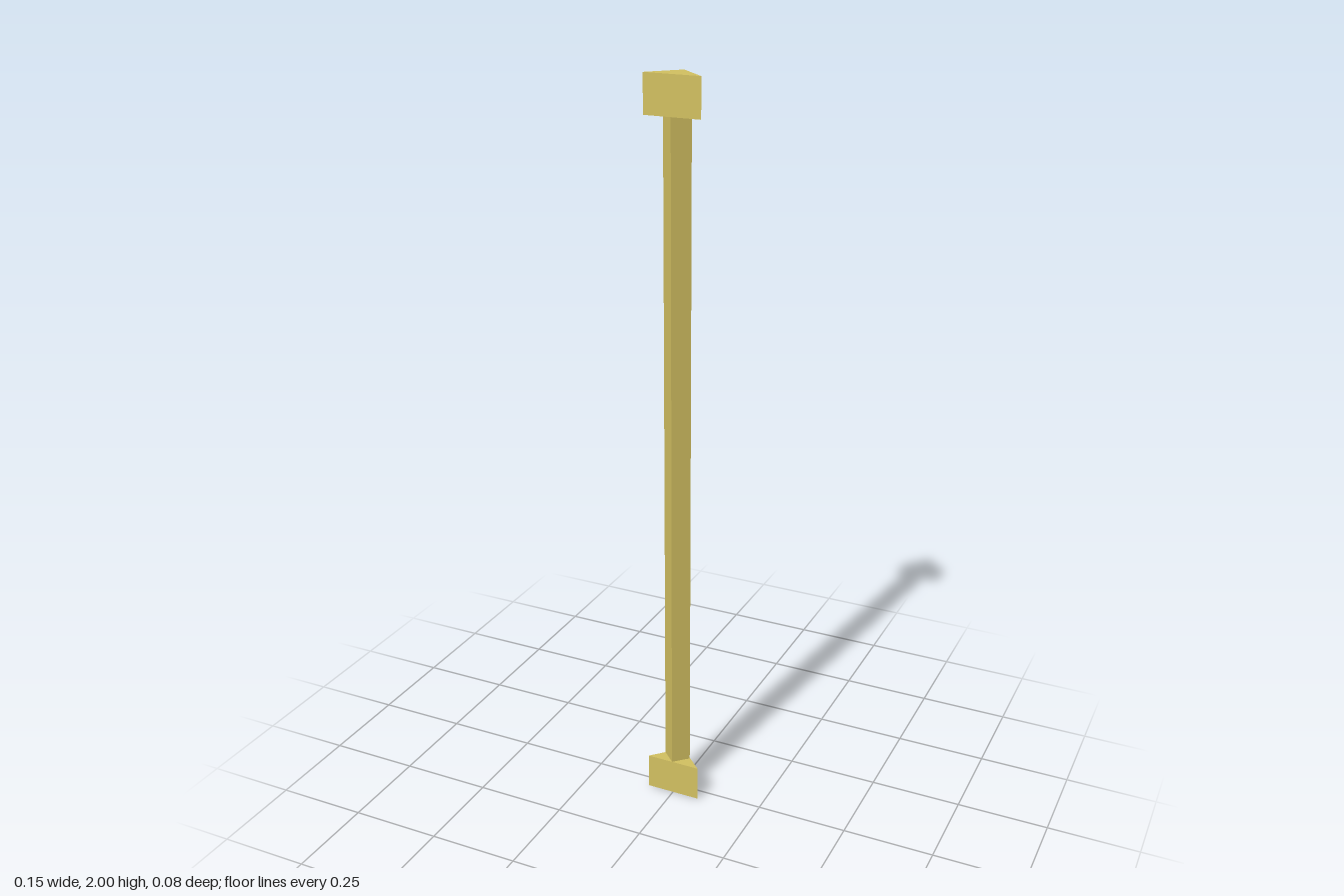
import * as THREE from 'three';

// Vertical prism over an (x, z) outline, from height y0 to y1
function prism(name, outline, y0, y1, material) {
  const shape = new THREE.Shape(outline.map(([x, z]) => new THREE.Vector2(x, -z)));
  const geometry = new THREE.ExtrudeGeometry(shape, { depth: y1 - y0, bevelEnabled: false });
  geometry.rotateX(-Math.PI / 2).translate(0, y0, 0);
  const mesh = new THREE.Mesh(geometry, material);
  mesh.name = name;
  return mesh;
}

export function createModel() {
  const group = new THREE.Group();
  group.name = 'cornerPost';
  const brass = new THREE.MeshStandardMaterial({ color: 0xd4c262 });
  brass.name = 'pale brass';

  const back = [-0.003, -0.038];
  // Triangular end blocks with a flat front
  const block = [[-0.076, 0.037], [0.076, 0.037], back];
  // Diamond shaft sharing the blocks' back edge
  const diamond = [[-0.041, 0], [-0.003, 0.037], [0.035, 0], back];

  group.add(
    prism('bottomBlock', block, 0, 0.1, brass),
    prism('shaft', diamond, 0.1, 1.9, brass),
    prism('topBlock', block, 1.9, 2, brass),
  );
  return group;
}
